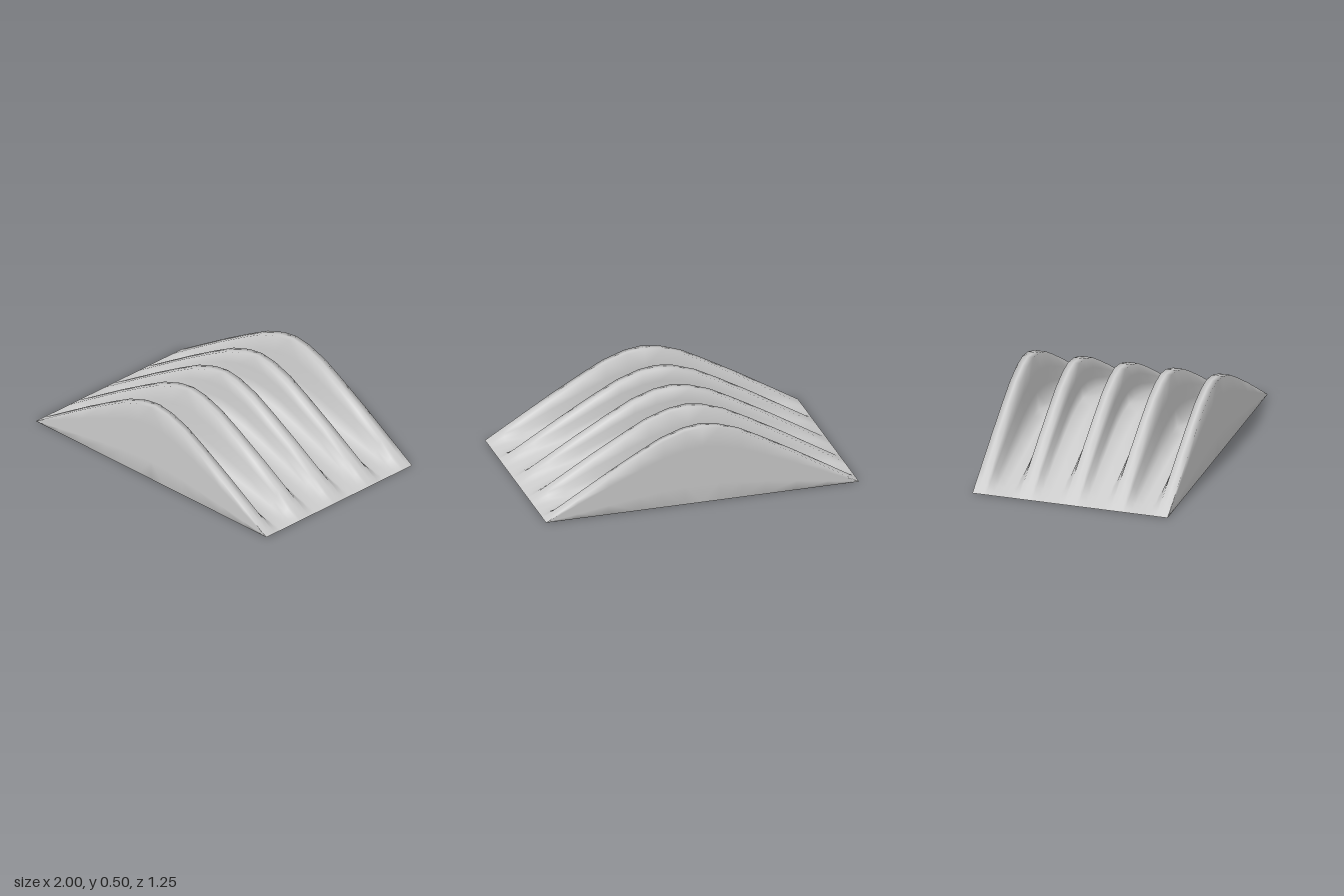
import * as THREE from 'three';

const HALF_DEPTH = 0.625;
const PEAK = 0.5;
const FLARE = 0.062; // how far a ridge wall spreads by the time it reaches the ground

// Arch outline of the ridges: [x, height]
const ARCH = [[0, 0.5], [0.11, 0.485], [0.25, 0.437], [0.4, 0.357], [0.6, 0.243], [0.8, 0.122], [0.9, 0.061], [0.96, 0.024], [1, 0]];
const STATIONS = [...ARCH.slice(1).reverse().map(([x, h]) => [-x, h]), ...ARCH];

// Valleys from front to back: crest edges on both sides and floor height as a share of the ridge
const VALLEYS = [
  { front: 0.555, back: 0.33, floor: 0.325 },
  { front: 0.26, back: 0.035, floor: 0.545 },
  { front: -0.035, back: -0.26, floor: 0.545 },
  { front: -0.33, back: -0.555, floor: 0.325 },
];
const WALL_STEPS = [0, 0.33, 0.67, 1];

// Closed cross-section [z, y] at ridge height h: crests, valleys, back face, underside, front face
function section(h) {
  const points = [[HALF_DEPTH, h], [0.59, h]];
  VALLEYS.forEach(({ front, back, floor }, i) => {
    const low = h * floor;
    const spread = FLARE * Math.pow(1 - low / PEAK, 1.2);
    const wall = (t) => [spread * Math.pow(t, 1.25), h + (low - h) * t];
    for (const t of WALL_STEPS) {
      const [d, y] = wall(t);
      points.push([front - d, y]);
    }
    points.push([(front + back) / 2, low]);
    for (const t of [...WALL_STEPS].reverse()) {
      const [d, y] = wall(t);
      points.push([back + d, y]);
    }
    // Middle of the next crest
    if (i < VALLEYS.length - 1) points.push([(back + VALLEYS[i + 1].front) / 2, h]);
  });
  points.push([-0.59, h], [-HALF_DEPTH, h]);
  for (const t of [0.75, 0.5, 0.25]) points.push([-HALF_DEPTH, h * t]);
  for (const z of [-HALF_DEPTH, -0.6, -0.3, 0, 0.3, 0.6, HALF_DEPTH]) points.push([z, 0]);
  for (const t of [0.25, 0.5, 0.75]) points.push([HALF_DEPTH, h * t]);
  return points;
}

// Skin the cross-sections along x into one closed smooth surface
function ridgedGeometry() {
  const positions = [];
  const index = [];
  const rings = STATIONS.map(([x, h]) => section(h).map(([z, y]) => [x, y, z]));
  const n = rings[0].length;
  rings.forEach((ring) => ring.forEach((p) => positions.push(...p)));
  for (let i = 0; i < rings.length - 1; i++) {
    for (let j = 0; j < n; j++) {
      const k = (j + 1) % n;
      const a = i * n + j, b = a + n, c = (i + 1) * n + k, d = i * n + k;
      // Split towards the nearer end so the tapering tips stay clean
      if (STATIONS[i][0] < 0) index.push(a, b, c, a, c, d);
      else index.push(a, b, d, b, c, d);
    }
  }
  const geometry = new THREE.BufferGeometry();
  geometry.setAttribute('position', new THREE.Float32BufferAttribute(positions, 3));
  geometry.setIndex(index);
  geometry.computeVertexNormals();
  return geometry;
}

export function createModel() {
  const group = new THREE.Group();
  group.name = 'ridgedArch';
  const body = new THREE.Mesh(ridgedGeometry(), new THREE.MeshStandardMaterial({ color: 0xcccccc }));
  body.name = 'ridgedBody';
  group.add(body);
  return group;
}
